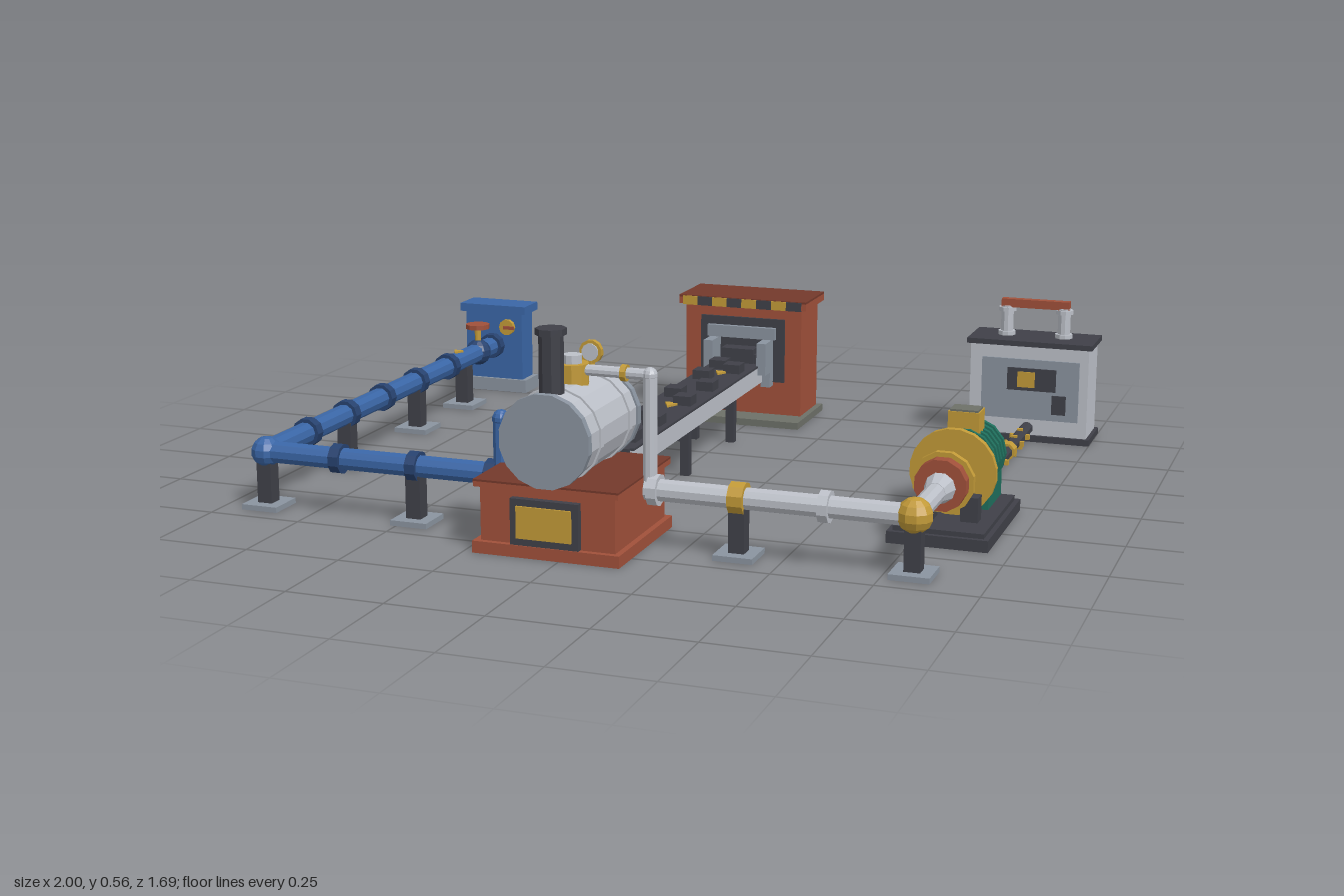
import * as THREE from 'three';

const paint = (name, color) => Object.assign(new THREE.MeshStandardMaterial({ color }), { name });
const M = {
  blue: paint('pipe blue', 0x3a66a6), navy: paint('flange navy', 0x27426f),
  brick: paint('brick red', 0xa0503a), darkBrick: paint('dark brick', 0x74392b),
  brass: paint('brass', 0xc29a38), charcoal: paint('charcoal', 0x3f4048),
  light: paint('light steel', 0xbcc0c8), steel: paint('steel', 0x8a939f),
  green: paint('generator green', 0x1f6e5c), concrete: paint('concrete', 0x6d7068),
};

export function createModel() {
  const root = new THREE.Group();
  root.name = 'steamPlant';
  let group = root;
  const part = (name) => { group = new THREE.Group(); group.name = name; root.add(group); };
  const add = (name, mat, geo) => {
    const g = geo.index ? geo.toNonIndexed() : geo; // faceted normals
    g.computeVertexNormals();
    const m = new THREE.Mesh(g, mat);
    m.name = name;
    group.add(m);
    return m;
  };
  // Box given by its bounds
  const box = (name, mat, x0, x1, y0, y1, z0, z1) => {
    add(name, mat, new THREE.BoxGeometry(x1 - x0, y1 - y0, z1 - z0))
      .position.set((x0 + x1) / 2, (y0 + y1) / 2, (z0 + z1) / 2);
  };
  // Cylinder between two points
  const rod = (name, mat, a, b, r, n = 10, r2 = r) => {
    const A = new THREE.Vector3(...a), B = new THREE.Vector3(...b), d = B.clone().sub(A);
    const m = add(name, mat, new THREE.CylinderGeometry(r2, r, d.length(), n).rotateY(Math.PI / n));
    m.position.copy(A).add(B).multiplyScalar(0.5);
    m.quaternion.setFromUnitVectors(new THREE.Vector3(0, 1, 0), d.normalize());
  };
  const alongX = (name, mat, x, y, z, r, w, n) => rod(name, mat, [x - w / 2, y, z], [x + w / 2, y, z], r, n);
  const alongZ = (name, mat, x, y, z, r, w, n) => rod(name, mat, [x, y, z - w / 2], [x, y, z + w / 2], r, n);
  const ball = (name, mat, x, y, z, r) => add(name, mat, new THREE.SphereGeometry(r, 10, 7)).position.set(x, y, z);
  // Flow arrow lying flat and pointing forward
  const arrow = (x, y, z, s) => {
    const shape = new THREE.Shape([new THREE.Vector2(-s, s), new THREE.Vector2(0, -s), new THREE.Vector2(s, s)]);
    add('flowArrow', M.brass, new THREE.ExtrudeGeometry(shape, { depth: 0.006, bevelEnabled: false }).rotateX(-Math.PI / 2))
      .position.set(x, y, z);
  };
  const PY = 0.147; // pipe axis height
  const support = (x, z) => {
    box('supportFoot', M.steel, x - 0.05, x + 0.05, 0, 0.014, z - 0.05, z + 0.05);
    box('supportPost', M.charcoal, x - 0.02, x + 0.02, 0.014, 0.125, z - 0.02, z + 0.02);
  };

  // Water station
  part('waterStation');
  box('stationBase', M.steel, -1, -0.78, 0, 0.04, -0.845, -0.745);
  box('stationBody', M.blue, -0.985, -0.795, 0.04, 0.25, -0.835, -0.755);
  box('stationCap', M.blue, -1, -0.78, 0.25, 0.275, -0.845, -0.745);
  alongZ('stationGauge', M.brass, -0.842, 0.207, -0.748, 0.025, 0.014, 10);
  box('stationLever', M.brick, -0.85, -0.815, 0.202, 0.212, -0.741, -0.735);

  // Water pipe
  part('waterPipe');
  const wx = -0.89, fz = 0.65;
  rod('sidePipe', M.blue, [wx, PY, -0.757], [wx, PY, fz], 0.029);
  rod('frontPipe', M.blue, [wx, PY, fz], [-0.225, PY, fz], 0.029);
  ball('corner', M.blue, wx, PY, fz, 0.04);
  for (const z of [-0.735, -0.417, -0.205, 0.008, 0.22, 0.435]) alongZ('flange', M.navy, wx, PY, z, 0.039, 0.028);
  for (const x of [-0.68, -0.465, -0.25]) alongX('flange', M.navy, x, PY, fz, 0.039, 0.028);
  for (const z of [-0.53, -0.207, 0.22, fz]) support(wx, z);
  support(-0.465, fz);
  arrow(wx, 0.175, -0.483, 0.015);
  rod('boilerRiser', M.blue, [-0.227, PY, fz], [-0.227, 0.29, fz], 0.021);
  ball('riserElbow', M.blue, -0.227, 0.29, fz, 0.023);
  rod('boilerFeed', M.blue, [-0.227, 0.29, fz], [-0.13, 0.29, fz], 0.02);
  alongX('feedFlange', M.navy, -0.157, 0.29, fz, 0.028, 0.02);
  // Valve with handwheel
  ball('valveBody', M.navy, wx, PY, -0.635, 0.04);
  rod('valveStem', M.brass, [wx, PY, -0.635], [wx, 0.23, -0.635], 0.01);
  rod('handwheel', M.brick, [wx, 0.222, -0.635], [wx, 0.236, -0.635], 0.037);

  // Furnace
  part('furnace');
  const bx = -0.035;
  box('furnacePlinth', M.brick, -0.225, 0.155, 0, 0.03, 0.47, 0.835);
  box('furnaceBody', M.brick, -0.208, 0.14, 0.03, 0.165, 0.485, 0.82);
  box('furnaceSlab', M.brick, -0.222, 0.152, 0.165, 0.178, 0.472, 0.83);
  box('furnaceTop', M.darkBrick, -0.222, 0.152, 0.178, 0.183, 0.472, 0.83);
  box('fireDoorFrame', M.charcoal, -0.123, 0.053, 0.032, 0.147, 0.815, 0.838);
  box('fireDoor', M.brass, -0.106, 0.036, 0.05, 0.13, 0.838, 0.843);

  // Boiler
  part('boiler');
  const by = 0.29;
  alongZ('boilerShell', M.light, bx, by, 0.66, 0.112, 0.325, 16);
  for (const z of [0.5, 0.823]) alongZ('boilerEnd', M.steel, bx, by, z, 0.117, 0.02, 16);
  for (const z of [0.555, 0.745]) alongZ('boilerBand', M.light, bx, by, z, 0.117, 0.018, 16);
  rod('chimney', M.charcoal, [bx, 0.385, 0.78], [bx, 0.545, 0.78], 0.03, 8);
  rod('chimneyRim', M.charcoal, [bx, 0.54, 0.78], [bx, 0.556, 0.78], 0.038, 8);
  rod('dome', M.brass, [bx, 0.385, fz], [bx, 0.445, fz], 0.041);
  rod('domeCap', M.light, [bx, 0.445, fz], [bx, 0.466, fz], 0.024);
  rod('gaugeStem', M.brass, [bx, 0.39, 0.53], [bx, 0.44, 0.53], 0.009, 8);
  alongZ('pressureGauge', M.brass, bx, 0.448, 0.53, 0.03, 0.014, 12);
  alongZ('gaugeFace', M.light, bx, 0.448, 0.539, 0.022, 0.004, 12);

  // Steam pipe
  part('steamPipe');
  const tx = 0.82;
  rod('steamOutlet', M.light, [bx, 0.43, fz], [0.165, 0.43, fz], 0.014);
  alongX('outletFlange', M.brass, 0.1, 0.43, fz, 0.021, 0.014);
  ball('steamElbow', M.light, 0.165, 0.43, fz, 0.019);
  rod('steamDownpipe', M.light, [0.165, 0.43, fz], [0.165, PY, fz], 0.018);
  rod('steamMain', M.light, [0.155, PY, fz], [tx, PY, fz], 0.028);
  rod('turbineFeed', M.light, [tx, PY, fz], [tx, PY, 0.44], 0.026);
  rod('turbineInlet', M.light, [tx, PY, 0.455], [tx, PY, 0.4], 0.027, 10, 0.04);
  for (const x of [0.178, 0.605]) alongX('steamFlange', M.light, x, PY, fz, 0.04, 0.025);
  alongX('brassFlange', M.brass, 0.39, PY, fz, 0.04, 0.038);
  ball('brassElbow', M.brass, tx, PY, fz, 0.044);
  support(0.39, fz);
  support(tx, fz);

  // Turbine and generator
  part('turbineGenerator');
  const ty = 0.152;
  box('machineBed', M.charcoal, 0.692, 0.945, 0, 0.03, 0.025, 0.418);
  box('machineBedTop', M.charcoal, 0.705, 0.932, 0.03, 0.042, 0.035, 0.405);
  alongZ('turbineCasing', M.brick, tx, ty, 0.36, 0.066, 0.085, 12);
  alongZ('turbineBand', M.brass, tx, ty, 0.36, 0.078, 0.018, 12);
  alongZ('driveShaft', M.light, tx, ty, 0.26, 0.034, 0.13);
  alongZ('flywheel', M.brass, tx, ty, 0.258, 0.11, 0.02, 20);
  for (const s of [-1, 1]) {
    const c = tx + s * 0.055;
    box('bearingBlock', M.charcoal, c - 0.022, c + 0.022, 0.04, 0.105, 0.277, 0.318);
    box('generatorFoot', M.green, c - 0.022, c + 0.022, 0.04, 0.11, 0.04, 0.195);
  }
  alongZ('generatorCore', M.green, tx, ty, 0.118, 0.078, 0.172, 14);
  for (let i = 0; i < 6; i++) alongZ('generatorFin', M.green, tx, ty, 0.043 + i * 0.03, 0.088, 0.014, 14);
  alongZ('generatorCap', M.charcoal, tx, ty, 0.025, 0.05, 0.016, 12);
  box('terminalBox', M.brass, tx - 0.04, tx + 0.04, 0.215, 0.28, 0.095, 0.16);
  box('terminalLid', M.concrete, tx - 0.036, tx + 0.036, 0.28, 0.285, 0.099, 0.156);

  // Power cable
  part('powerCable');
  const route = [[0.1, 0.252], [0.035, 0.252], [0.015, 0.235], [0.015, 0.04]].map(([z, y]) => [tx, y, z]);
  for (let i = 1; i < route.length; i++) rod('cableDrop', M.charcoal, route[i - 1], route[i], 0.016, 8);
  rod('floorCable', M.charcoal, [tx, 0.038, 0.02], [tx, 0.038, -0.7], 0.018, 8);
  for (const z of [0.015, -0.415]) alongZ('cableJoint', M.brass, tx, 0.038, z, 0.025, 0.036, 8);
  for (const z of [-0.1, -0.295, -0.505, -0.588]) {
    box('cableClip', M.brass, tx - 0.028, tx + 0.028, 0.03, 0.044, z - 0.006, z + 0.006);
    box('clipPost', M.brass, tx - 0.008, tx + 0.008, 0, 0.06, z - 0.006, z + 0.006);
  }

  // Transformer cabinet
  part('transformer');
  box('cabinetBase', M.charcoal, 0.64, 1, 0, 0.018, -0.845, -0.68);
  box('cabinetBody', M.light, 0.65, 0.99, 0.018, 0.278, -0.836, -0.69);
  box('cabinetLid', M.charcoal, 0.64, 1, 0.278, 0.293, -0.845, -0.68);
  box('cabinetPanel', M.steel, 0.685, 0.965, 0.065, 0.24, -0.69, -0.684);
  box('cabinetScreen', M.charcoal, 0.76, 0.9, 0.15, 0.215, -0.684, -0.679);
  box('cabinetPlate', M.brass, 0.79, 0.84, 0.16, 0.205, -0.679, -0.675);
  box('cabinetSwitch', M.charcoal, 0.89, 0.93, 0.085, 0.14, -0.684, -0.679);
  for (const x of [0.738, 0.903]) {
    rod('insulator', M.light, [x, 0.293, -0.765], [x, 0.38, -0.765], 0.018);
    for (const y of [0.3, 0.37]) rod('insulatorRing', M.light, [x, y - 0.006, -0.765], [x, y + 0.006, -0.765], 0.025);
  }
  box('busBar', M.brick, 0.722, 0.918, 0.376, 0.4, -0.777, -0.753);

  // Coal bunker
  part('coalBunker');
  box('bunkerBase', M.concrete, -0.232, 0.162, 0, 0.02, -0.845, -0.585);
  box('bunkerBody', M.brick, -0.215, 0.145, 0.02, 0.342, -0.835, -0.668);
  box('bunkerCap', M.brick, -0.232, 0.162, 0.342, 0.362, -0.845, -0.655);
  box('bunkerRoof', M.darkBrick, -0.232, 0.162, 0.362, 0.368, -0.845, -0.655);
  for (let i = 0; i < 8; i++) {
    const x = -0.22 + i * 0.046;
    box('warningStripe', i % 2 ? M.charcoal : M.brass, x, x + 0.046, 0.34, 0.366, -0.656, -0.65);
  }
  box('bunkerOpening', M.charcoal, -0.165, 0.095, 0.12, 0.31, -0.669, -0.66);
  box('openingLintel', M.steel, -0.14, 0.07, 0.25, 0.285, -0.665, -0.645);
  for (const s of [-1, 1]) {
    const c = bx + s * 0.082;
    box('chuteWall', M.steel, c - 0.014, c + 0.014, 0.155, 0.25, -0.665, -0.585);
    box('chuteBracket', M.steel, c - 0.014, c + 0.014, 0.11, 0.155, -0.665, -0.63);
  }

  // Conveyor
  part('conveyor');
  box('belt', M.charcoal, bx - 0.062, bx + 0.062, 0.125, 0.182, -0.66, 0.44);
  for (const s of [-1, 1]) {
    const c = bx + s * 0.066;
    box('sideRail', M.light, c - 0.006, c + 0.006, 0.125, 0.176, -0.66, 0.43);
    box('railCover', M.charcoal, c - 0.007, c + 0.007, 0.176, 0.182, -0.66, 0.43);
    for (const z of [-0.39, -0.005, 0.38]) {
      const l = bx + s * 0.056;
      box('conveyorLeg', M.charcoal, l - 0.012, l + 0.012, 0, 0.126, z - 0.012, z + 0.012);
    }
  }
  for (const z of [-0.39, -0.005, 0.38]) box('legBrace', M.charcoal, bx - 0.06, bx + 0.06, 0.095, 0.115, z - 0.01, z + 0.01);
  box('feedChute', M.charcoal, bx - 0.055, bx + 0.055, 0.105, 0.16, 0.43, 0.49);
  [-0.64, -0.535, -0.49, -0.39, -0.255, -0.155, -0.07, 0.118, 0.17, 0.267, 0.348].forEach((z, i) => {
    const x = bx + (i % 2 ? -0.028 : 0.03);
    box('coalLump', M.charcoal, x - 0.025, x + 0.025, 0.18, 0.208, z - 0.025, z + 0.025);
  });
  box('coalHeap', M.charcoal, bx - 0.05, bx + 0.05, 0.18, 0.225, -0.662, -0.61);
  [[-0.452, 0.018], [-0.033, 0.022], [0.4, 0.026]].forEach(([z, s]) => arrow(bx, 0.182, z, s));

  return root;
}
